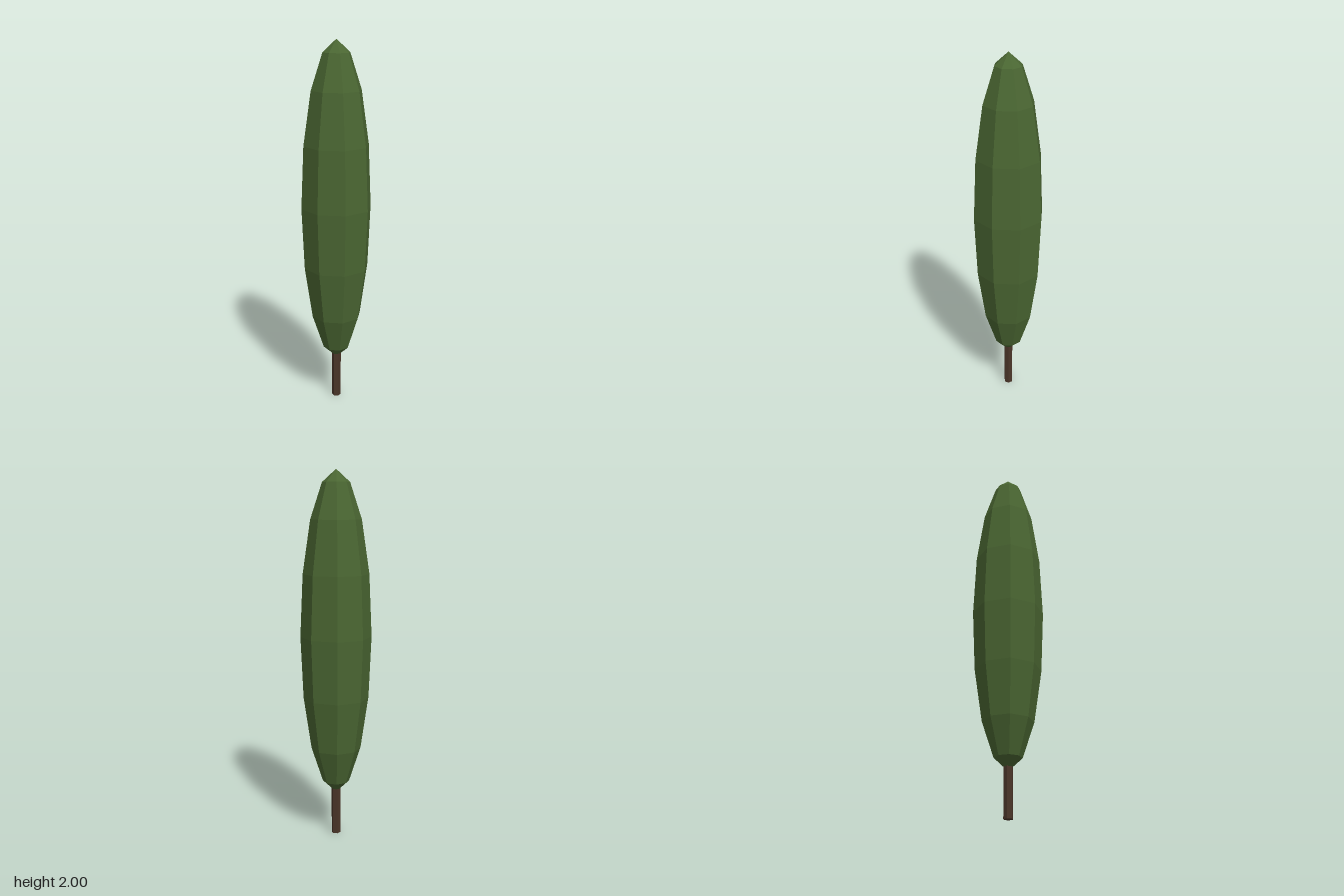
import * as THREE from 'three';

export function createModel() {
  const tree = new THREE.Group();
  tree.name = 'cypressTree';

  const leafGreen = new THREE.MeshStandardMaterial({ color: 0x4a6632 });
  leafGreen.name = 'leafGreen';
  leafGreen.flatShading = true;
  const barkBrown = new THREE.MeshStandardMaterial({ color: 0x4a3528 });
  barkBrown.name = 'barkBrown';
  barkBrown.flatShading = true;

  const addPart = (name, geometry, material, y) => {
    const mesh = new THREE.Mesh(geometry, material);
    mesh.name = name;
    mesh.position.y = y;
    tree.add(mesh);
  };

  // Tall faceted crown: an eight-sided sphere stretched upward
  const crown = new THREE.SphereGeometry(1, 8, 8).scale(0.192, 0.88, 0.192);
  addPart('crown', crown, leafGreen, 1.12);

  // Slim six-sided trunk, reaching a little into the crown
  const trunk = new THREE.CylinderGeometry(0.025, 0.025, 0.28, 6);
  addPart('trunk', trunk, barkBrown, 0.14);

  return tree;
}
